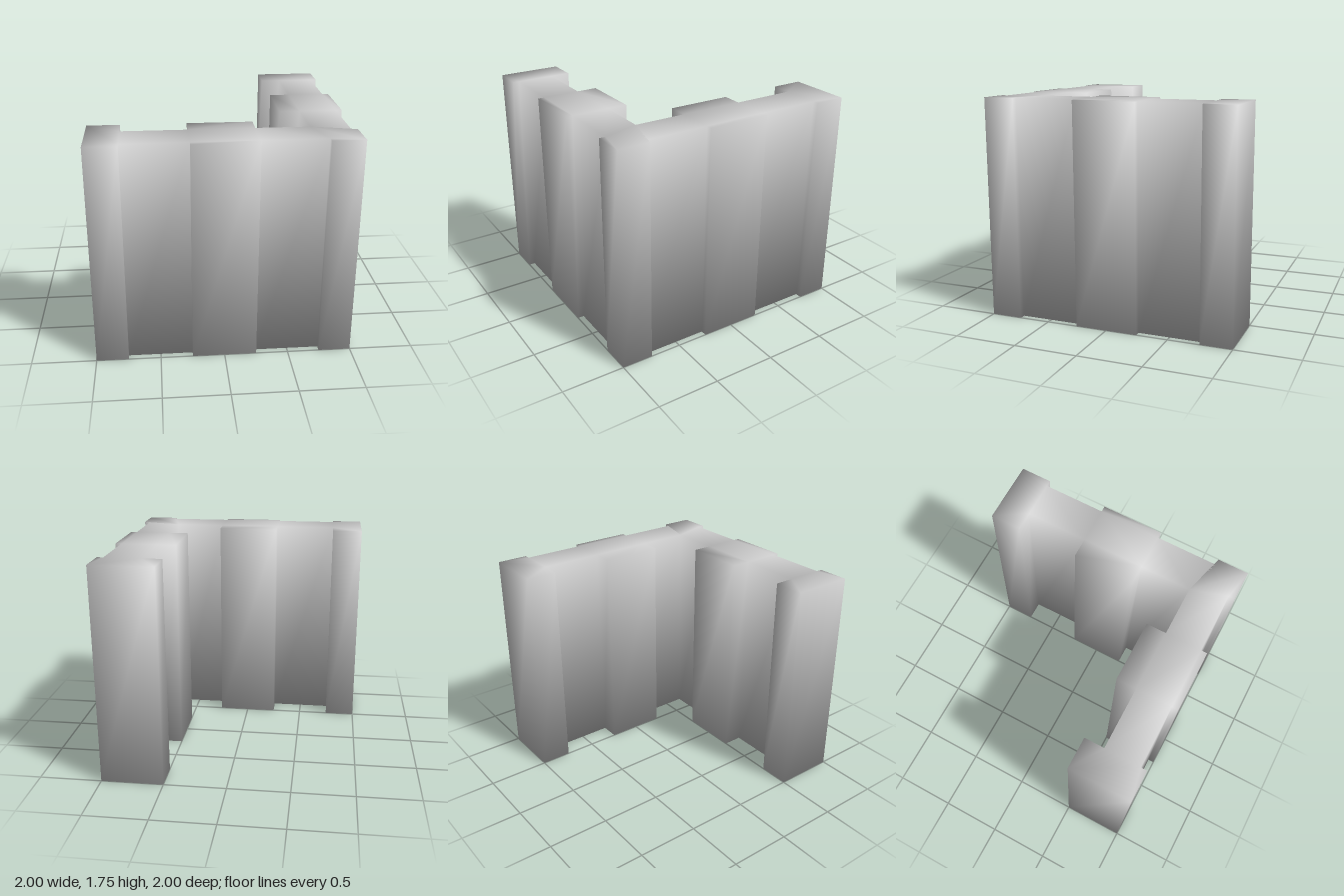
import * as THREE from 'three';

const HEIGHT = 1.75;
const OUTER = 0.95, INNER = 0.66; // wall faces
const PIER_OUT = 1, PIER_IN = 0.5; // pier faces

// Front wing outline (x, z), from the outer corner along the outside and back along the inside
const wing = [
  [1, PIER_OUT], [0.75, PIER_OUT], [0.75, OUTER],
  [0.25, OUTER], [0.25, PIER_OUT], [-0.25, PIER_OUT], [-0.25, OUTER],
  [-0.75, OUTER], [-0.75, PIER_OUT], [-1, PIER_OUT],
  [-1, PIER_IN], [-0.75, PIER_IN], [-0.75, INNER],
  [-0.25, INNER], [-0.25, PIER_IN], [0.25, PIER_IN], [0.25, INNER],
  [INNER, INNER],
];
// Side wing: the same outline mirrored across the diagonal x = z
const sideWing = wing.slice(1, -1).reverse().map(([x, z]) => [z, x]);
const outline = [...wing, ...sideWing];
const N = outline.length;

// Top of the front wing, split at the piers (indices into the outline)
const wingCap = [
  [0, 1, 2, 17],                              // half of the corner pier
  [2, 3, 16, 17], [6, 7, 12, 13],             // wall stretches
  [3, 4, 5, 6], [3, 6, 13, 16], [13, 14, 15, 16], // middle pier
  [7, 8, 9], [7, 9, 10, 12], [10, 11, 12],    // end pier
];
const sideCap = wingCap.map((poly) => poly.map((i) => (N - i) % N).reverse());

// Unit direction of the outline edge that starts at point i
function edgeDirection(i) {
  const [ax, az] = outline[(i + N) % N];
  const [bx, bz] = outline[(i + 1) % N];
  return new THREE.Vector2(bx - ax, bz - az).normalize();
}

function createWallGeometry() {
  const positions = [], normals = [], index = [];

  // Bottom ring, then top ring; normals are blended by the angle of each face at the corner
  for (const side of [-1, 1]) {
    outline.forEach(([x, z], i) => {
      const before = edgeDirection(i - 1), after = edgeDirection(i);
      const capWeight = before.cross(after) > 0 ? 1 : 3; // convex 90, concave 270 degrees
      const normal = new THREE.Vector3(
        before.y + after.y, side * capWeight, -before.x - after.x
      ).normalize();
      positions.push(x, side > 0 ? HEIGHT : 0, z);
      normals.push(...normal.toArray());
    });
  }

  // Upright faces
  for (let i = 0; i < N; i++) {
    const next = (i + 1) % N;
    index.push(next, i, i + N, next, i + N, next + N);
  }

  // Underside and top
  for (const poly of [...wingCap, ...sideCap]) {
    for (let k = 1; k < poly.length - 1; k++) {
      const [a, b, c] = [poly[0], poly[k], poly[k + 1]];
      index.push(a, b, c, a + N, c + N, b + N);
    }
  }

  const geometry = new THREE.BufferGeometry();
  geometry.setAttribute('position', new THREE.Float32BufferAttribute(positions, 3));
  geometry.setAttribute('normal', new THREE.Float32BufferAttribute(normals, 3));
  geometry.setIndex(index);
  return geometry;
}

export function createModel() {
  const group = new THREE.Group();
  group.name = 'cornerWall';
  const wall = new THREE.Mesh(
    createWallGeometry(),
    new THREE.MeshStandardMaterial({ color: 0xcccccc })
  );
  wall.name = 'wallWithPiers';
  group.add(wall);
  return group;
}
